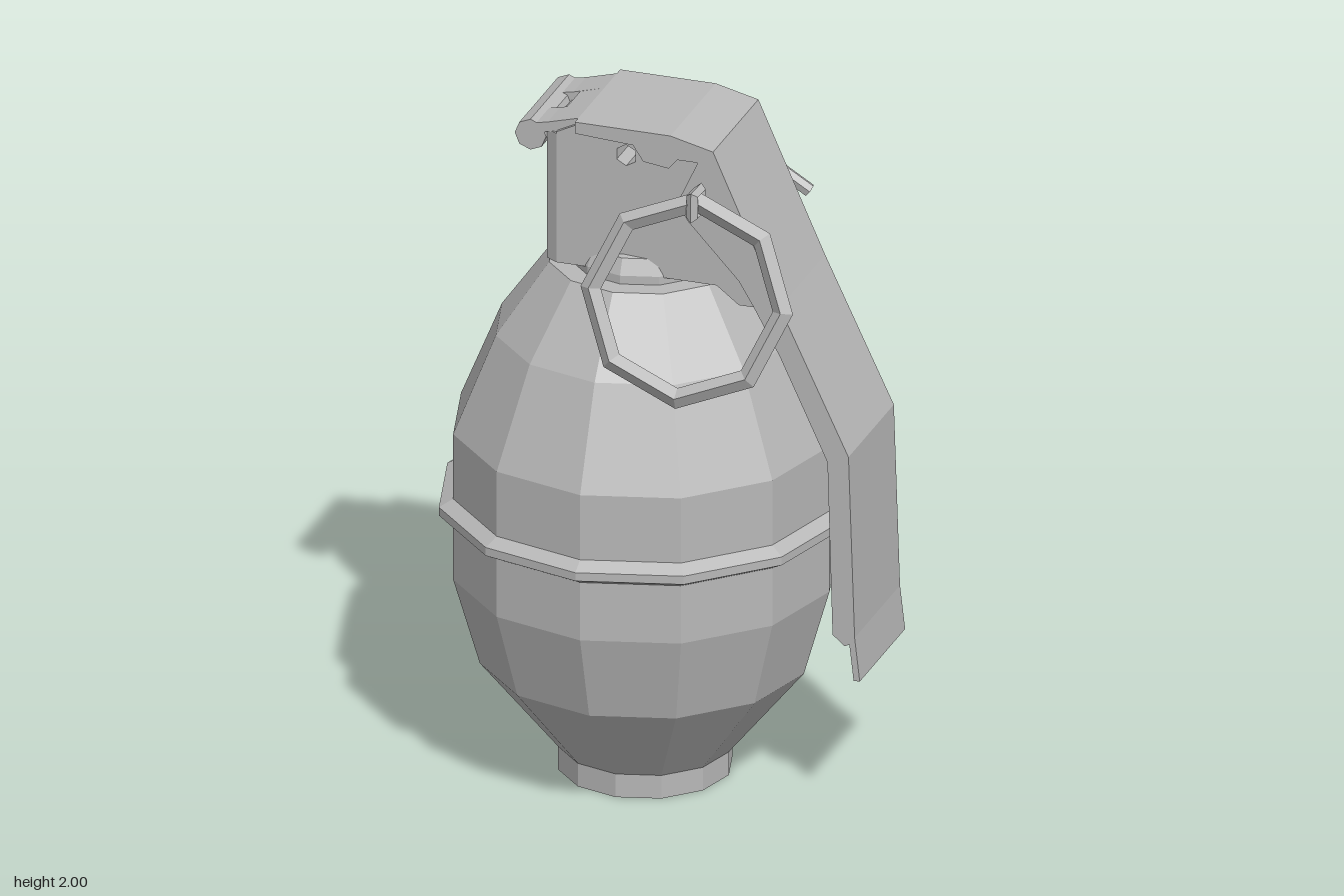
import * as THREE from 'three';

const steel = new THREE.MeshStandardMaterial({ color: 0xb8b8b8, flatShading: true });
steel.name = 'grey steel';

const AXIS_X = -0.06; // the shell sits slightly off centre, balancing the lever

const shapeOf = (pts) => new THREE.Shape(pts.map(([x, y]) => new THREE.Vector2(x, y)));

export function createModel() {
  const group = new THREE.Group();

  const add = (name, geometry) => {
    const mesh = new THREE.Mesh(geometry, steel);
    mesh.name = name;
    group.add(mesh);
    return mesh;
  };

  // Twelve-sided turned part from [radius, height] pairs
  const turned = (name, profile) => {
    const pts = profile.map(([r, y]) => new THREE.Vector2(r, y));
    add(name, new THREE.LatheGeometry(pts, 12)).position.x = AXIS_X;
  };

  // Side outline (x, y) extruded from z0 to z1
  const slab = (name, outline, z0, z1, hole) => {
    const shape = shapeOf(outline);
    if (hole) shape.holes.push(hole);
    const geo = new THREE.ExtrudeGeometry(shape, { depth: z1 - z0, bevelEnabled: false });
    geo.translate(0, 0, z0);
    return add(name, geo);
  };

  // Straight rod between two points
  const rod = (name, a, b, radius, sides = 6) => {
    const from = new THREE.Vector3(...a), to = new THREE.Vector3(...b);
    const dir = to.clone().sub(from);
    const mesh = add(name, new THREE.CylinderGeometry(radius, radius, dir.length(), sides));
    mesh.position.copy(from).add(to).multiplyScalar(0.5);
    mesh.quaternion.setFromUnitVectors(new THREE.Vector3(0, 1, 0), dir.normalize());
    return mesh;
  };

  // Shell, waist band and neck
  turned('shell', [
    [0, 0], [0.245, 0], [0.245, 0.07], [0.465, 0.34], [0.54, 0.6],
    [0.54, 1.04], [0.42, 1.33], [0.27, 1.54], [0, 1.54],
  ]);
  turned('waistBand', [[0.53, 0.77], [0.58, 0.797], [0.58, 0.822], [0.53, 0.85]]);
  turned('neck', [[0.21, 1.53], [0.21, 1.565], [0.19, 1.61], [0.1, 1.63], [0, 1.63]]);

  // Fuse housing with a cross hole and a chamfered rear edge
  const hole = new THREE.Path();
  hole.absarc(-0.055, 1.915, 0.032, 0, Math.PI * 2, true);
  hole.curves = [];
  for (let i = 0; i < 6; i++) {
    const at = (k) => {
      const a = -k * Math.PI / 3 + Math.PI / 6;
      return new THREE.Vector2(-0.055 + 0.032 * Math.cos(a), 1.915 + 0.032 * Math.sin(a));
    };
    hole.curves.push(new THREE.LineCurve(at(i), at(i + 1)));
  }
  slab('fuseHousing', [
    [-0.26, 1.56], [0.21, 1.56], [0.275, 1.51], [0.32, 1.51], [0.31, 1.6],
    [0.18, 1.955], [0.08, 1.985], [-0.2, 1.985], [-0.26, 1.955],
  ], -0.172, 0.172, hole);
  const edge = new THREE.ExtrudeGeometry(
    shapeOf([[-0.26, -0.172], [-0.26, 0.172], [-0.295, 0.15], [-0.295, -0.15]]),
    { depth: 0.39, bevelEnabled: false });
  edge.rotateX(-Math.PI / 2);
  edge.translate(0, 1.56, 0);
  add('fuseHousingEdge', edge);

  // Lever: a bent sheet with a folded flange on each side
  slab('leverSheet', [
    [-0.2, 1.985], [0.075, 1.985], [0.19, 1.955], [0.385, 1.52], [0.585, 1.095],
    [0.602, 0.56], [0.617, 0.43], [0.635, 0.43], [0.62, 0.56], [0.602, 1.105],
    [0.4, 1.53], [0.205, 1.97], [0.08, 2], [-0.2, 2],
  ], -0.188, 0.188);
  for (const side of [-1, 1]) {
    const z0 = side > 0 ? 0.172 : -0.187;
    slab('leverFlange', [
      [0.61, 0.54], [0.59, 0.53], [0.555, 0.56], [0.54, 1.08], [0.4, 1.38], [0.325, 1.515],
      [0.28, 1.59], [0.13, 1.75], [0.1, 1.8], [0.16, 1.93], [0.1, 1.93], [0.075, 1.9],
      [0, 1.91], [-0.03, 1.955], [-0.2, 1.965], [-0.2, 1.99], [0.078, 1.99],
      [0.198, 1.96], [0.392, 1.525], [0.594, 1.1], [0.611, 0.56],
    ], z0, z0 + 0.015);
    // Hinge arms leaving a notch between them
    const a = side > 0 ? 0.055 : -0.16;
    slab('hingeArm', [
      [-0.2, 1.955], [-0.2, 2], [-0.29, 1.975], [-0.34, 1.965], [-0.34, 1.925],
      [-0.295, 1.945],
    ], a, a + 0.105);
  }
  slab('hingeTongue', [[-0.2, 1.96], [-0.2, 2], [-0.27, 1.98], [-0.27, 1.95]], -0.055, 0.055);
  rod('hingePin', [-0.34, 1.93, -0.16], [-0.34, 1.93, 0.16], 0.046, 8);

  // Safety pin with an eye in front and splayed legs behind
  rod('safetyPin', [0.175, 1.81, -0.21], [0.175, 1.81, 0.25], 0.018);
  const eye = add('pinEye', new THREE.TorusGeometry(0.045, 0.017, 4, 4));
  eye.rotation.set(0.15, Math.PI / 2, 0.6);
  eye.position.set(0.175, 1.835, 0.245);
  rod('pinLeg', [0.185, 1.8, -0.2], [0.03, 1.93, -0.215], 0.02);
  rod('pinLeg', [0.165, 1.82, -0.205], [0.335, 1.69, -0.245], 0.02);

  // Pull ring hanging at a slant
  const ring = add('pullRing', new THREE.TorusGeometry(0.275, 0.029, 4, 8));
  ring.rotation.set(-0.32, 0.08, 0);
  ring.position.set(0.18, 1.58, 0.335);

  return group;
}
